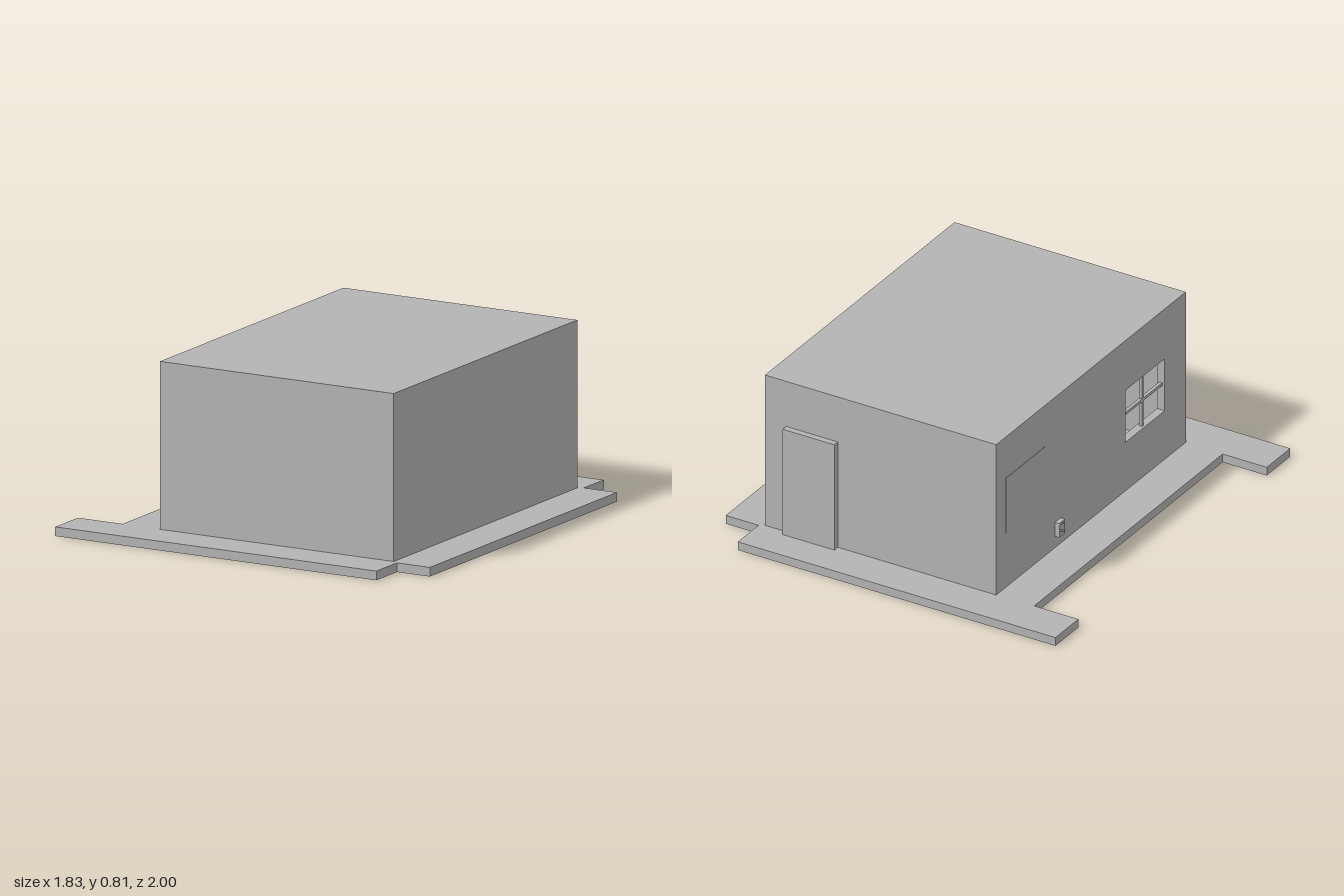
import * as THREE from 'three';

export function createModel() {
  const group = new THREE.Group();
  const plaster = new THREE.MeshStandardMaterial({ color: 0xb3b3b3 });
  plaster.name = 'plainGrey';

  function add(name, geometry, parent = group) {
    const mesh = new THREE.Mesh(geometry, plaster);
    mesh.name = name;
    parent.add(mesh);
    return mesh;
  }
  // Box given by its minimum and maximum corners
  function box(name, x0, x1, y0, y1, z0, z1, parent = group) {
    const mesh = add(name, new THREE.BoxGeometry(x1 - x0, y1 - y0, z1 - z0), parent);
    mesh.position.set((x0 + x1) / 2, (y0 + y1) / 2, (z0 + z1) / 2);
    return mesh;
  }

  const floor = 0.042, top = 0.81, t = 0.04;
  const left = -0.49, right = 0.715, front = 0.805, back = -0.81;

  // Stepped ground slab; outline in (x, -z) so it can be laid flat
  const outline = [
    [-0.915, -1], [0.74, -1], [0.74, -0.82], [0.91, -0.82], [0.91, 0.825], [0.74, 0.825],
    [0.74, 1], [-0.915, 1], [-0.915, 0.805], [-0.685, 0.805], [-0.685, -0.8], [-0.915, -0.8],
  ].map(([x, y]) => new THREE.Vector2(x, y));
  add('groundSlab', new THREE.ExtrudeGeometry(new THREE.Shape(outline), { depth: floor, bevelEnabled: false })
    .rotateX(-Math.PI / 2));

  // Plain walls and flat roof
  box('frontWall', left + t, right, floor, top - t, front - t, front);
  box('backWall', left + t, right, floor, top - t, back, back + t);
  box('plusXWall', right - t, right, floor, top - t, back + t, front - t);
  box('roof', left + t, right, top - t, top, back, front);

  // Side wall with a window opening, drawn in (z, y)
  const win = { z0: 0.29, z1: 0.625, y0: 0.29, y1: 0.555 };
  const rect = (C, a, b, c, d) => new C([[a, c], [b, c], [b, d], [a, d]].map(p => new THREE.Vector2(...p)));
  const wall = rect(THREE.Shape, back, front, floor, top);
  wall.holes.push(rect(THREE.Path, win.z0, win.z1, win.y0, win.y1));
  add('windowWall', new THREE.ExtrudeGeometry(wall, { depth: t, bevelEnabled: false }).rotateY(-Math.PI / 2))
    .position.x = left + t;

  // Window bars
  const bars = new THREE.Group();
  bars.name = 'windowBars';
  group.add(bars);
  const zm = (win.z0 + win.z1) / 2, ym = (win.y0 + win.y1) / 2, b = 0.007;
  box('verticalBar', left + 0.012, left + 0.028, win.y0, win.y1, zm - b, zm + b, bars);
  box('horizontalBar', left + 0.012, left + 0.028, ym - b, ym + b, win.z0, win.z1, bars);

  // Thin wall panel
  box('wallPanel', left - 0.003, left, 0.32, 0.6, -0.73, -0.4);

  // Door on the back wall
  box('door', 0.335, 0.605, floor, 0.58, -0.84, back);

  // Small wall fitting with two short prongs
  const fitting = new THREE.Group();
  fitting.name = 'wallFitting';
  group.add(fitting);
  box('fittingBox', left - 0.023, left, 0.1, 0.172, -0.31, -0.26, fitting);
  const prong = box('upperProng', -0.535, -0.511, 0.17, 0.176, -0.309, -0.301, fitting);
  prong.rotation.z = -0.5;
  box('lowerProng', -0.531, -0.511, 0.131, 0.137, -0.305, -0.295, fitting);

  // Table indoors
  const table = new THREE.Group();
  table.name = 'table';
  group.add(table);
  box('tableTop', -0.29, 0.14, 0.25, 0.27, -0.24, 0.22, table);
  for (const x of [-0.265, 0.11])
    for (const z of [-0.22, 0.2])
      box('tableLeg', x - 0.01, x + 0.01, floor, 0.25, z - 0.01, z + 0.01, table);

  return group;
}
